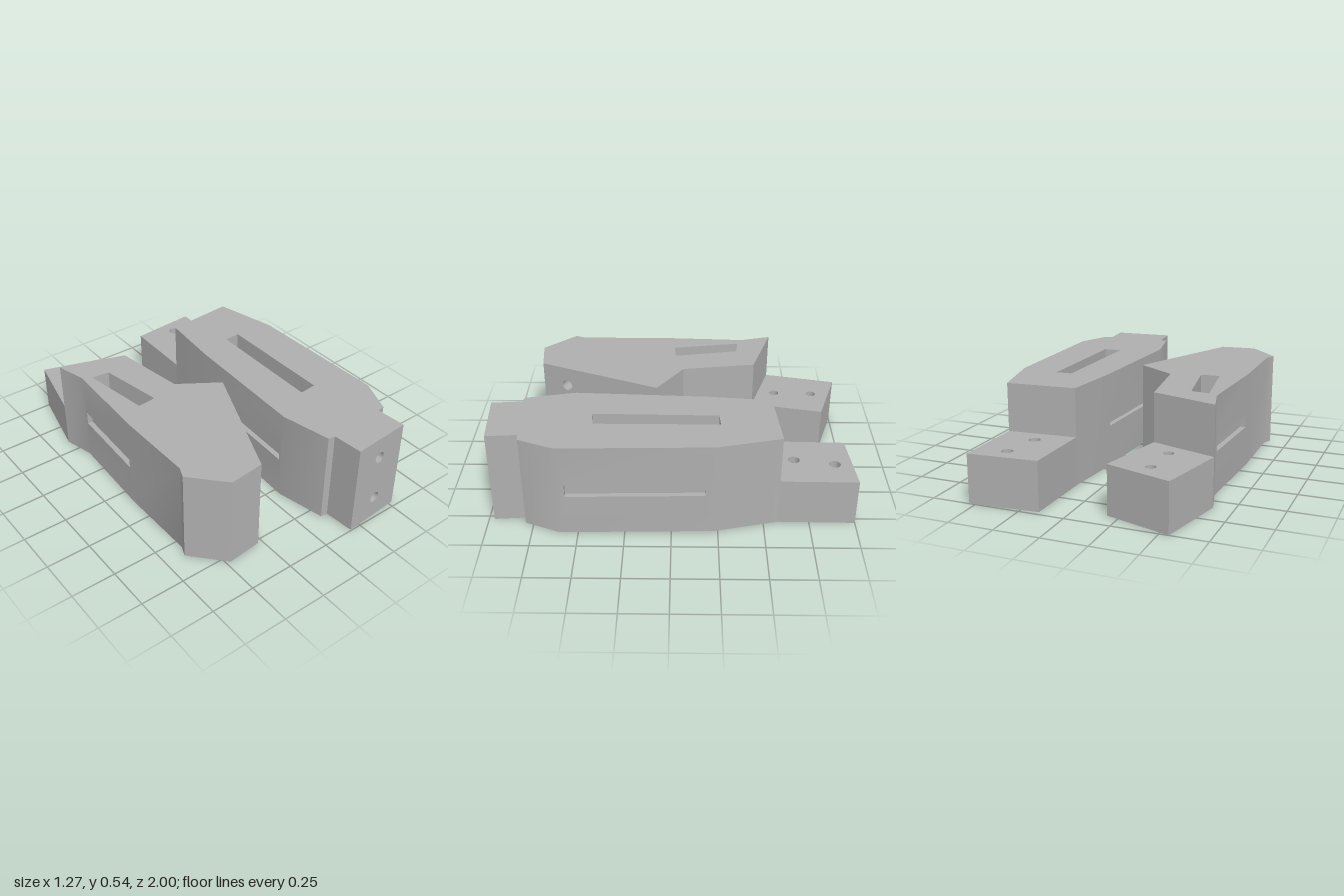
import * as THREE from 'three';
import { toCreasedNormals } from 'three/addons/utils/BufferGeometryUtils.js';

const FULL = 0.54, HALF = 0.27;
const V2 = (x, y) => new THREE.Vector2(x, y);
const rect = (x0, y0, x1, y1) => [V2(x0, y0), V2(x1, y0), V2(x1, y1), V2(x0, y1)];
const circle = (x, y, r) => Array.from({ length: 24 }, (_, i) => {
  const a = (i / 24) * Math.PI * 2;
  return V2(x + r * Math.cos(a), y + r * Math.sin(a));
});
// plan points are given as [x, z]; in the plan plane y = -z
const plan = (pts) => pts.map(([x, z]) => V2(x, -z));

// Flat panel in a local frame, with recessed or through openings {path, depth, through}
function panel(out, matrix, contour, cuts = [], flip = false) {
  const put = (p, z) => out.push(...new THREE.Vector3(p.x, p.y, z).applyMatrix4(matrix).toArray());
  const fill = (outer, holes, z) => {
    const all = [outer, ...holes].flat();
    for (const f of THREE.ShapeUtils.triangulateShape(outer.slice(), holes.map((h) => h.slice()))) {
      const order = flip ? [f[0], f[2], f[1]] : f;
      order.forEach((i) => put(all[i], z));
    }
  };
  fill(contour, cuts.map((c) => c.path.slice().reverse()), 0);
  for (const { path, depth, through } of cuts) {
    if (!depth) continue;
    path.forEach((p, i) => {
      const q = path[(i + 1) % path.length];
      put(p, 0); put(q, 0); put(q, -depth);
      put(p, 0); put(q, -depth); put(p, -depth);
    });
    if (!through) fill(path, [], -depth);
  }
}

// Upright prism; the last edge of the plan is the joint between body and tongue
function prism(name, pts, height, jointBase, topCuts, wallCuts, material) {
  const out = [], contour = plan(pts);
  const lay = (y) => new THREE.Matrix4().makeRotationX(-Math.PI / 2).setPosition(0, y, 0);
  panel(out, lay(height), contour, topCuts);
  const openings = topCuts.filter((c) => c.through).map((c) => ({ path: c.path }));
  panel(out, lay(0), contour, openings, true);
  const up = new THREE.Vector3(0, 1, 0);
  pts.forEach(([x, z], i) => {
    const [x2, z2] = pts[(i + 1) % pts.length];
    const base = i === pts.length - 1 ? jointBase : 0;
    if (base >= height) return;
    const u = new THREE.Vector3(x2 - x, 0, z2 - z), len = u.length();
    u.normalize();
    const m = new THREE.Matrix4().makeBasis(u, up, u.clone().cross(up)).setPosition(x, 0, z);
    panel(out, m, rect(0, base, len, height), wallCuts[i]);
  });
  const g = new THREE.BufferGeometry();
  g.setAttribute('position', new THREE.Float32BufferAttribute(out, 3));
  const mesh = new THREE.Mesh(toCreasedNormals(g, Math.PI / 6), material);
  mesh.name = name;
  return mesh;
}

export function createModel() {
  const grey = new THREE.MeshStandardMaterial({ color: 0xb0b0b0 });
  grey.name = 'plain grey';
  const slot = (u0, u1) => [{ path: rect(u0, 0.235, u1, 0.31), depth: 0.03 }];
  const bore = (x, y, depth, r = 0.032) => ({ path: circle(x, y, r), depth });
  const mortise = (pts) => [{ path: plan(pts), depth: FULL, through: true }];

  // Angled block: flared body with a bored oblique face, plus drilled tongue
  const angled = new THREE.Group();
  angled.name = 'angledBlock';
  angled.add(prism('angledBody', [
    [-0.64, -0.59], [-0.595, -0.42], [-0.62, 0.1], [-0.615, 0.55], [-0.64, 0.61],
    [-0.475, 0.79], [-0.275, 0.77], [0.01, 0.09], [-0.215, -0.06], [-0.275, -0.475],
  ], FULL, HALF,
  mortise([[-0.485, -0.005], [-0.38, -0.015], [-0.445, -0.38], [-0.545, -0.39]]), {
    1: slot(0.02, 0.5),
    6: [0.155, 0.582].flatMap((u) => [0.115, 0.425].map((y) => bore(u, y, 0.1))),
    8: slot(0.025, 0.25),
  }, grey));
  angled.add(prism('angledTongue', [
    [-0.275, -0.475], [-0.185, -0.885], [-0.55, -1], [-0.64, -0.59],
  ], HALF, HALF, [[-0.4, -0.845], [-0.41, -0.62]].map(
    ([x, z]) => ({ ...bore(x, -z, HALF, 0.028), through: true })), {}, grey));

  // Straight block: tapered body with a bored front tenon, plus drilled tongue
  const straight = new THREE.Group();
  straight.name = 'straightBlock';
  straight.add(prism('straightBody', [
    [0.14, -0.55], [0.105, -0.2], [0.07, 0.54], [0.13, 0.82], [0.17, 0.825], [0.185, 0.995],
    [0.525, 0.97], [0.51, 0.8], [0.555, 0.795], [0.635, 0.6], [0.615, -0.23], [0.53, -0.58],
  ], FULL, HALF,
  mortise([[0.295, 0.43], [0.395, 0.42], [0.395, -0.26], [0.305, -0.255]]), {
    1: slot(0.02, 0.72),
    5: [0.135, 0.41].map((y) => bore(0.17, y, 0.1)),
    9: slot(0.04, 0.78),
  }, grey));
  straight.add(prism('straightTongue', [
    [0.53, -0.58], [0.535, -1], [0.15, -0.97], [0.14, -0.55],
  ], HALF, HALF, [[0.365, -0.89], [0.325, -0.67]].map(([x, z]) => bore(x, -z, 0.1)), {}, grey));

  const model = new THREE.Group();
  model.name = 'blockPair';
  model.add(angled, straight);
  return model;
}
